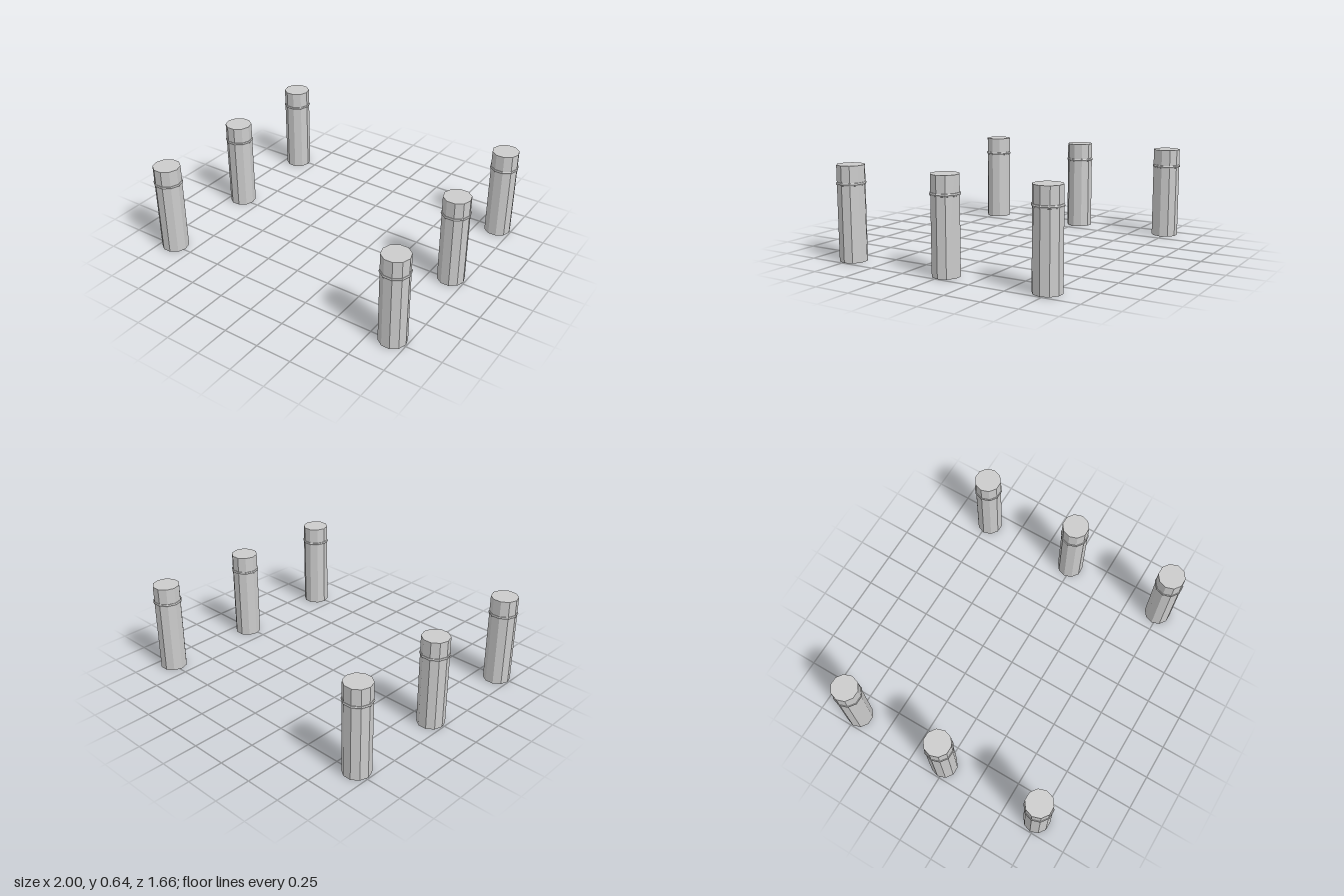
import * as THREE from 'three';

const SIDES = 10;
const HEIGHT = 0.642;
const RADIUS = 0.094;

export function createModel() {
  const model = new THREE.Group();
  model.name = 'bollards';
  const material = new THREE.MeshStandardMaterial({ color: 0xcccccc, flatShading: true });

  // ten-sided post with a corner pointing along x, standing on the floor
  const postGeometry = new THREE.CylinderGeometry(RADIUS, RADIUS, HEIGHT, SIDES, 1, false, Math.PI / 2);
  postGeometry.translate(0, HEIGHT / 2, 0);

  // thin rounded band near the top, corners aligned with the post
  const ringGeometry = new THREE.TorusGeometry(0.088, 0.0125, 8, SIDES);
  ringGeometry.rotateX(Math.PI / 2);
  ringGeometry.translate(0, 0.52, 0);

  // two rows of three; the middle pair sits slightly towards the back
  const rows = [['front', 0.735], ['middle', -0.017], ['back', -0.735]];
  for (const [side, x] of [['Left', 0.9], ['Right', -0.9]]) {
    for (const [row, z] of rows) {
      const bollard = new THREE.Group();
      bollard.name = `${row}${side}Bollard`;
      const post = new THREE.Mesh(postGeometry, material);
      post.name = 'post';
      const ring = new THREE.Mesh(ringGeometry, material);
      ring.name = 'ring';
      bollard.add(post, ring);
      bollard.position.set(x, 0, z);
      model.add(bollard);
    }
  }
  return model;
}
